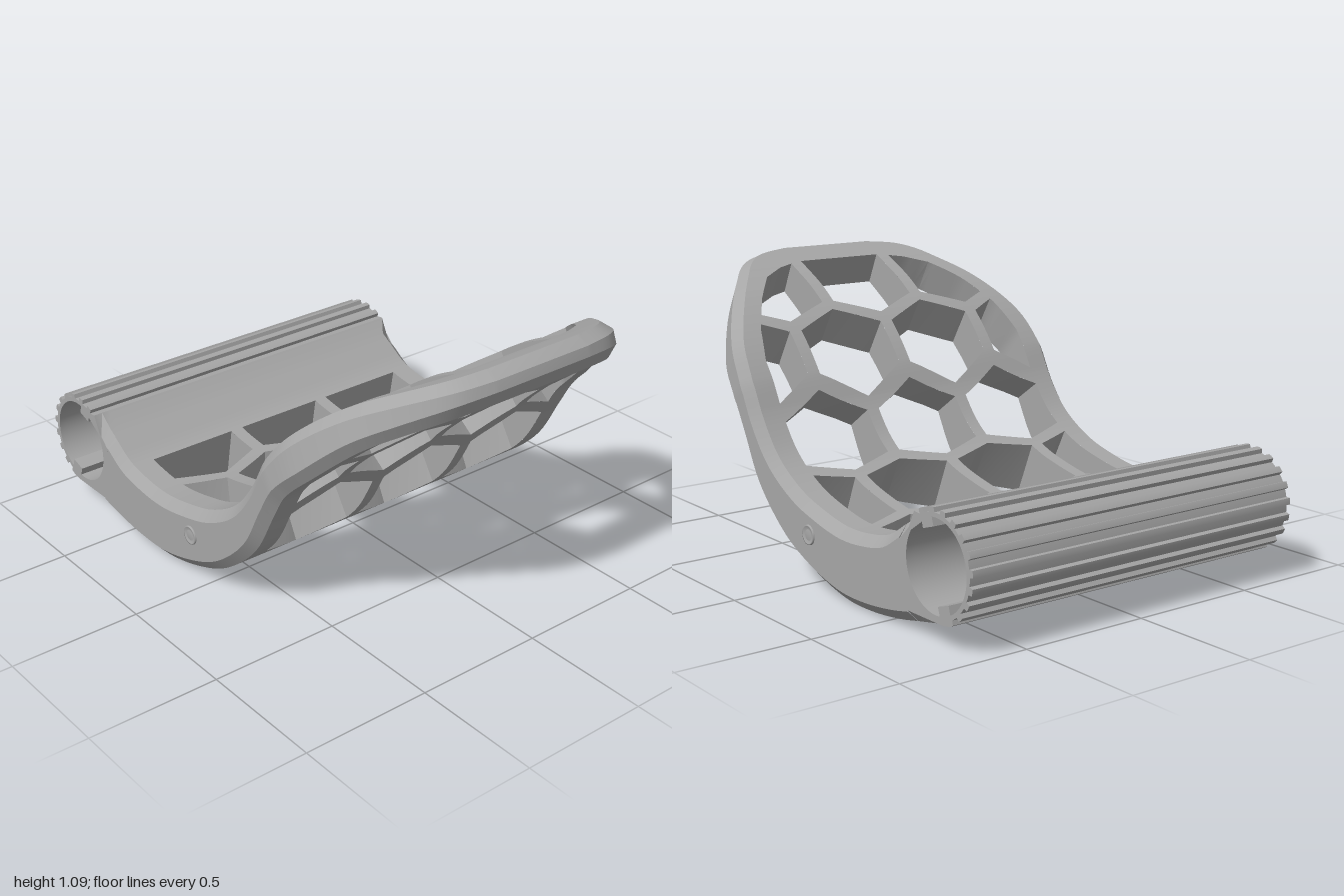
import * as THREE from 'three';
import { toCreasedNormals } from 'three/addons/utils/BufferGeometryUtils.js';

const HALF = 0.72;      // half width along z
const CHAMFER = 0.038;
const BORE = { x: -0.807, y: 0.27, r: 0.163 };

// Side profile: matching points on the upper and the lower face
const PROFILE = [
  [-0.60, 0.36, -0.66, 0.04], [-0.50, 0.30, -0.56, 0.02], [-0.38, 0.275, -0.40, 0.002],
  [-0.25, 0.27, -0.24, 0.005], [-0.10, 0.295, -0.04, 0.055], [0.05, 0.34, 0.13, 0.135],
  [0.20, 0.43, 0.31, 0.295], [0.30, 0.55, 0.415, 0.475], [0.38, 0.69, 0.48, 0.585],
  [0.50, 0.83, 0.585, 0.69], [0.65, 0.95, 0.73, 0.825], [0.80, 1.03, 0.86, 0.91],
  [0.92, 1.085, 0.96, 0.97], [1.00, 1.115, 1.03, 1.01],
];
const upper = new THREE.CatmullRomCurve3(PROFILE.map((p) => new THREE.Vector3(p[0], p[1], 0)));
const lower = new THREE.CatmullRomCurve3(PROFILE.map((p) => new THREE.Vector3(p[2], p[3], 0)));

// Upper and lower profile points at upper-face position u
function section(u) {
  let a = 0, b = 1;
  for (let i = 0; i < 22; i++) {
    const m = (a + b) / 2;
    if (upper.getPoint(m).x < u) a = m; else b = m;
  }
  return [upper.getPoint((a + b) / 2), lower.getPoint((a + b) / 2)];
}

// Split long edges so that they follow the bend
function densify(poly, closed) {
  const out = [];
  poly.forEach((p, i) => {
    if (!closed && i === poly.length - 1) return out.push(p);
    const q = poly[(i + 1) % poly.length];
    const n = Math.max(1, Math.ceil(Math.abs(q[0] - p[0]) / 0.02));
    for (let k = 0; k < n; k++) out.push([p[0] + (q[0] - p[0]) * k / n, p[1] + (q[1] - p[1]) * k / n]);
  });
  return out;
}

// Keep the part of a polygon inside a convex, counter-clockwise region
function clip(poly, region) {
  region.forEach((a, i) => {
    const b = region[(i + 1) % region.length], out = [];
    const side = (p) => (b[0] - a[0]) * (p[1] - a[1]) - (b[1] - a[1]) * (p[0] - a[0]);
    poly.forEach((p, k) => {
      const q = poly[(k + 1) % poly.length], sp = side(p), sq = side(q);
      if (sp >= 0) out.push(p);
      if (sp * sq < 0) {
        const t = sp / (sp - sq);
        out.push([p[0] + (q[0] - p[0]) * t, p[1] + (q[1] - p[1]) * t]);
      }
    });
    poly = out;
  });
  return poly;
}

const mirrored = (half) => [...half.map(([u, z]) => [u, -z]), ...half.slice().reverse()];

// Honeycomb rows: near tip, near shoulder, far shoulder, far tip, slope factor, staggered or not
function honeycomb() {
  const region = mirrored([[-0.47, 0.6], [0.42, 0.6], [0.52, 0.56], [0.64, 0.48], [0.75, 0.39], [0.80, 0.30], [0.83, 0.2]]);
  const rows = [
    [-0.90, -0.80, -0.31, -0.22, 1, 0], [-0.31, -0.22, 0.08, 0.14, 0.95, 1], [0.08, 0.14, 0.30, 0.36, 0.65, 0],
    [0.30, 0.36, 0.51, 0.58, 0.65, 1], [0.51, 0.58, 0.95, 1.05, 0.8, 0],
  ];
  const holes = [];
  for (const [a, b, c, d, f, odd] of rows) {
    const centres = odd ? [-0.63, -0.21, 0.21, 0.63] : [-0.42, 0, 0.42];
    const tip = 0.028 * f, sh = 0.019 * f, h = 0.184;
    for (const z of centres) {
      const hex = [[b + sh, z + h], [c - sh, z + h], [d - tip, z], [c - sh, z - h], [b + sh, z - h], [a + tip, z]];
      const hole = clip(hex, region);
      if (hole.length > 2) holes.push(hole);
    }
  }
  return holes;
}

// Curved panel: bands for the faces, walls for the holes, chamfered rim
function panelGeometry() {
  const pos = [];
  const put = (u, z, d) => {
    const [t, b] = section(u);
    const p = t.clone().lerp(b, d === 'hi' ? CHAMFER / t.distanceTo(b) : d === 'lo' ? 1 - CHAMFER / t.distanceTo(b) : d);
    return [p.x, p.y, z];
  };
  const quad = (a, b, c, d) => pos.push(...a, ...b, ...c, ...a, ...c, ...d);

  const corner = new THREE.SplineCurve([[0.38, 0.72], [0.47, 0.70], [0.55, 0.66], [0.67, 0.58], [0.78, 0.5],
    [0.88, 0.42], [0.94, 0.33], [0.97, 0.2]].map((p) => new THREE.Vector2(...p))).getPoints(28).map((p) => [p.x, p.y]);
  const rim = densify(mirrored([[-0.6, HALF], ...corner]), false);
  const inset = rim.map(([u, z], i) => {
    const p = rim[Math.max(i - 1, 0)], q = rim[Math.min(i + 1, rim.length - 1)];
    const du = q[0] - p[0], dz = q[1] - p[1], l = Math.hypot(du, dz);
    return [u - 0.04 * dz / l, z + 0.035 * du / l];
  });
  const holes = honeycomb();

  // Upper and lower faces
  const polys = [inset, ...holes];
  const cuts = polys.flat().map((p) => p[0]);
  for (let u = -0.6; u < 0.93; u += 0.02) cuts.push(u);
  cuts.sort((a, b) => a - b);
  for (let i = 0; i + 1 < cuts.length; i++) {
    const u0 = cuts[i], u1 = cuts[i + 1], um = (u0 + u1) / 2;
    if (u1 - u0 < 1e-6) continue;
    const hits = [];
    for (const poly of polys) poly.forEach((p, k) => {
      const q = poly[(k + 1) % poly.length];
      if ((p[0] < um) === (q[0] < um)) return;
      const at = (u) => p[1] + (q[1] - p[1]) * (u - p[0]) / (q[0] - p[0]);
      hits.push([at(u0), at(u1), at(um)]);
    });
    hits.sort((a, b) => a[2] - b[2]);
    for (let k = 0; k + 1 < hits.length; k += 2) {
      const [a0, a1] = hits[k], [b0, b1] = hits[k + 1];
      quad(put(u0, a0, 0), put(u0, b0, 0), put(u1, b1, 0), put(u1, a1, 0));
      quad(put(u0, a0, 1), put(u1, a1, 1), put(u1, b1, 1), put(u0, b0, 1));
    }
  }
  // Hole walls
  for (const hole of holes) {
    const d = densify(hole, true);
    d.forEach((p, i) => {
      const q = d[(i + 1) % d.length];
      quad(put(...p, 0), put(...q, 0), put(...q, 1), put(...p, 1));
    });
  }
  // Rim
  const rings = [[inset, 0], [rim, 'hi'], [rim, 'lo'], [inset, 1]];
  for (let r = 0; r < 3; r++) for (let i = 0; i + 1 < rim.length; i++) {
    const [A, da] = rings[r], [B, db] = rings[r + 1];
    quad(put(...A[i], da), put(...A[i + 1], da), put(...B[i + 1], db), put(...B[i], db));
  }
  const g = new THREE.BufferGeometry();
  g.setAttribute('position', new THREE.Float32BufferAttribute(pos, 3));
  return toCreasedNormals(g, 0.4);
}

// Ribbed sleeve that holds the bore and blends into the panel
function sleeveGeometry() {
  const pts = [[-0.60, 0.36], [-0.64, 0.385], [-0.69, 0.43]];
  const polar = (deg, r) => pts.push([BORE.x + r * Math.cos(deg * Math.PI / 180), BORE.y + r * Math.sin(deg * Math.PI / 180)]);
  for (let i = 0; i < 11; i++) {
    const a = 61 + 18 * i;
    polar(a, 0.179); polar(a + 1, 0.195); polar(a + 4.5, 0.196); polar(a + 8, 0.195);
    if (i < 10) { polar(a + 9, 0.179); polar(a + 13.5, 0.179); }
  }
  pts.push([-0.85, 0.082], [-0.76, 0.06], [-0.66, 0.04]);
  const shape = new THREE.Shape(pts.map((p) => new THREE.Vector2(...p)));
  shape.holes.push(new THREE.Path().absarc(BORE.x, BORE.y, BORE.r, 0, Math.PI * 2, true));
  const g = new THREE.ExtrudeGeometry(shape, { depth: 2 * HALF, steps: 40, bevelEnabled: false, curveSegments: 32 });
  g.translate(0, 0, -HALF);
  // Chamfer the end edges where the sleeve meets the panel
  const p = g.attributes.position;
  for (let i = 0; i < p.count; i++) {
    const x = p.getX(i), y = p.getY(i);
    if (Math.abs(p.getZ(i)) < HALF - 0.001 || Math.hypot(x - BORE.x, y - BORE.y) < 0.18) continue;
    if (y < 0.07) p.setXY(i, x + 0.008, y + 0.042);
    else if (x > -0.68 && y > 0.34) p.setXY(i, x - 0.008, y - 0.042);
  }
  g.deleteAttribute('uv');
  return toCreasedNormals(g, 0.4);
}

export function createModel() {
  const grey = new THREE.MeshStandardMaterial({ color: 0xa6a6a6 });
  grey.name = 'grey';
  const model = new THREE.Group();
  model.name = 'hookedHoneycombPaddle';
  const add = (name, geometry) => {
    const mesh = new THREE.Mesh(geometry, grey);
    mesh.name = name;
    model.add(mesh);
    return mesh;
  };
  add('honeycombPanel', panelGeometry());
  add('ribbedSleeve', sleeveGeometry());

  // Two keys inside the bore
  for (const deg of [72, 252]) {
    const a = deg * Math.PI / 180;
    const key = add('boreKey', new THREE.BoxGeometry(0.04, 0.06, 2 * HALF));
    key.position.set(BORE.x + 0.148 * Math.cos(a), BORE.y + 0.148 * Math.sin(a), 0);
    key.rotation.z = a;
  }
  // Screw seat on each side
  for (const s of [1, -1]) {
    const seat = add('screwSeat', new THREE.LatheGeometry(
      [[0.037, 0], [0.036, 0.006], [0.032, 0.006], [0.022, 0.001], [0.02, 0.004], [0, 0.004]].map((p) => new THREE.Vector2(...p)), 24));
    seat.position.set(-0.05, 0.2, s * HALF);
    seat.rotation.x = s * Math.PI / 2;
  }
  return model;
}
